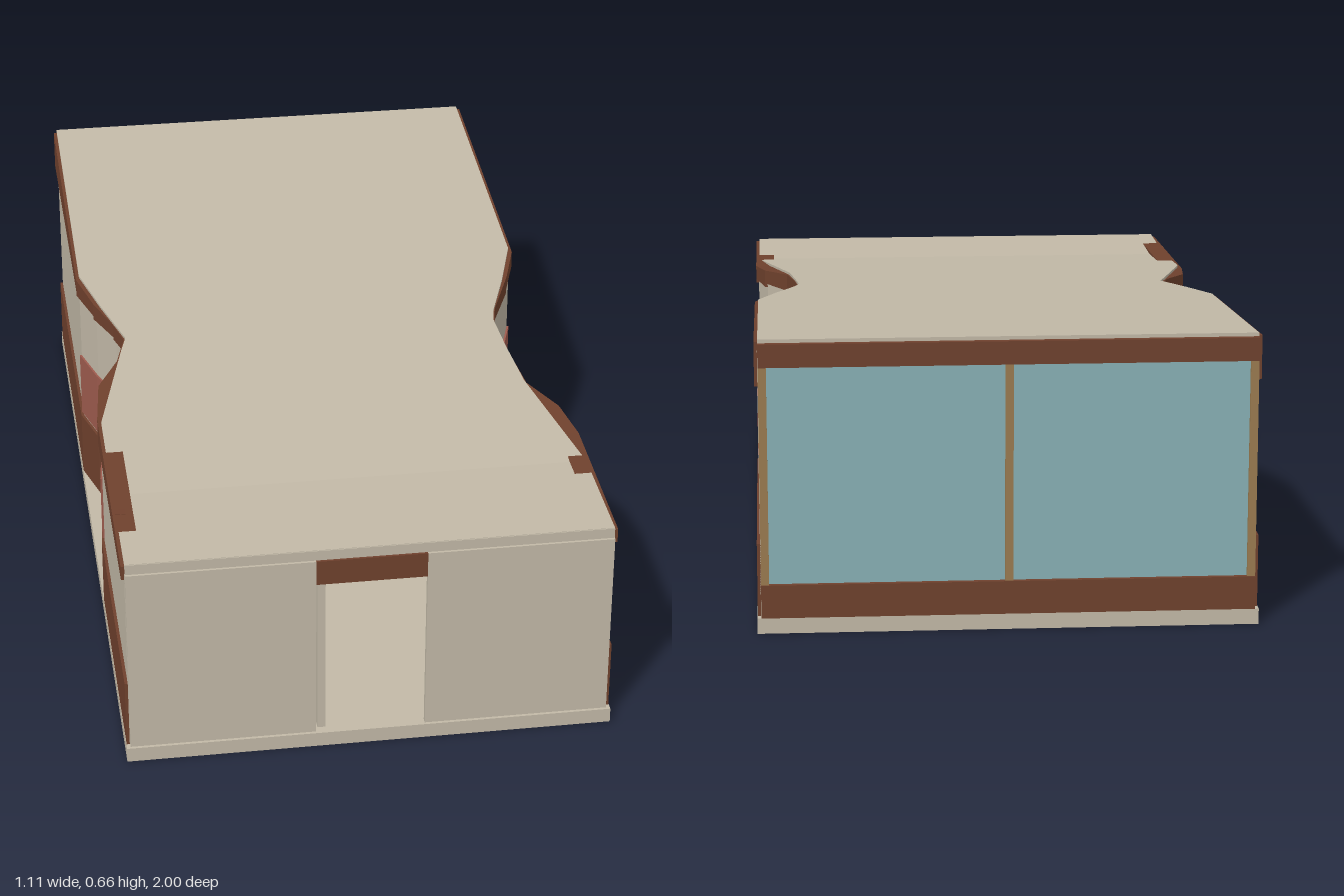
import * as THREE from 'three';

const mat = (name, color) => Object.assign(new THREE.MeshStandardMaterial({ color }), { name });

// Solid lofted through rows of four corners, faceted, always wound outward
function loft(rows) {
  const tris = [];
  const quad = (a, b, c, d) => tris.push([a, b, c], [a, c, d]);
  for (let i = 0; i < rows.length - 1; i++) {
    for (let j = 0; j < 4; j++) {
      const k = (j + 1) % 4;
      quad(rows[i][j], rows[i][k], rows[i + 1][k], rows[i + 1][j]);
    }
  }
  const first = rows[0], last = rows[rows.length - 1];
  quad(first[3], first[2], first[1], first[0]);
  quad(last[0], last[1], last[2], last[3]);
  const v = (p) => new THREE.Vector3(...p);
  const volume = tris.reduce((s, [a, b, c]) => s + v(a).dot(v(b).cross(v(c))), 0);
  const pos = tris.flatMap((t) => (volume < 0 ? [t[0], t[2], t[1]] : t)).flat();
  const g = new THREE.BufferGeometry();
  g.setAttribute('position', new THREE.Float32BufferAttribute(pos, 3));
  g.computeVertexNormals();
  return g;
}

// Outlines as [z, x], front to back
const wallRight = [[0.982, 0.548], [0.57, 0.548], [0.455, 0.525], [0.35, 0.468], [0.2, 0.45],
  [0.08, 0.442], [0.02, 0.455], [-0.12, 0.512], [-0.235, 0.548], [-0.98, 0.548]];
const wallLeft = [[0.982, -0.548], [0.38, -0.548], [0.24, -0.533], [0.14, -0.48], [0.05, -0.455],
  [-0.02, -0.475], [-0.12, -0.515], [-0.235, -0.548], [-0.98, -0.548]];
const roofRight = [[0.985, 0.547], [0.69, 0.547], [0.35, 0.47], [0.2, 0.455], [0.08, 0.447],
  [0.03, 0.457], [-0.1, 0.503], [-0.245, 0.547], [-0.985, 0.547]];
const roofLeft = [[0.985, -0.547], [0.4, -0.547], [0.1, -0.472], [0.05, -0.458],
  [-0.1, -0.506], [-0.245, -0.547], [-0.985, -0.547]];

const roofY = (z) => 0.515 + Math.max(0, 0.69 - z) * 0.0866;

function xAt(path, z) {
  for (let i = 0; i < path.length - 1; i++) {
    const [z0, x0] = path[i], [z1, x1] = path[i + 1];
    if (z <= z0 && z >= z1) return x0 + ((x1 - x0) * (z0 - z)) / (z0 - z1);
  }
  return path[path.length - 1][1];
}

// Upright strip following a wall outline between two z values
function strip(path, zFront, zBack, inset, outset, bottom, top) {
  const mids = path.map((p) => p[0]).filter((z) => z < zFront - 1e-4 && z > zBack + 1e-4);
  const side = Math.sign(path[0][1]);
  return loft([zFront, ...mids, zBack].map((z) => {
    const x = xAt(path, z), a = x - side * inset, b = x + side * outset, t = top(z);
    return [[a, bottom, z], [b, bottom, z], [b, t, z], [a, t, z]];
  }));
}

export function createModel() {
  const model = new THREE.Group();
  model.name = 'pavilion';
  const stone = mat('stone', 0xc2b9a7);
  const brown = mat('brownCladding', 0x6f412d);
  const red = mat('redPanel', 0x9e5b4e);
  const glass = mat('glass', 0x88b0b5);
  const tan = mat('tanFrame', 0x9a7b50);

  const add = (name, geometry, material) => {
    const mesh = new THREE.Mesh(geometry, material);
    mesh.name = name;
    model.add(mesh);
    return mesh;
  };
  // Box given by its min and max on each axis
  const box = (name, material, x0, x1, y0, y1, z0, z1) => {
    add(name, new THREE.BoxGeometry(x1 - x0, y1 - y0, z1 - z0), material)
      .position.set((x0 + x1) / 2, (y0 + y1) / 2, (z0 + z1) / 2);
  };

  box('floorSlab', stone, -0.556, 0.556, 0, 0.035, -1, 1);

  // Roof: flat at the front, then rising to the back, waisted on both sides
  const zs = [...new Set([...roofRight, ...roofLeft].map((p) => p[0]))].sort((a, b) => b - a);
  add('roof', loft(zs.map((z) => {
    const l = xAt(roofLeft, z), r = xAt(roofRight, z), y = roofY(z);
    return [[l, y - 0.012, z], [r, y - 0.012, z], [r, y, z], [l, y, z]];
  })), stone);

  // Side walls with base band, red panel and stepped top band
  for (const [side, path, redFront] of [['left', wallRight, 0.35], ['right', wallLeft, 0.38]]) {
    add(side + 'Wall', strip(path, 0.982, -0.98, 0.015, 0, 0.035, (z) => roofY(z) - 0.025), stone);
    add(side + 'BaseBand', strip(path, 0.982, -0.98, 0.005, 0.007, 0.035, () => 0.2), brown);
    add(side + 'RedPanel', strip(path, redFront, -0.235, 0.002, 0.005, 0.21, () => 0.375), red);
    for (let i = 0; i < path.length - 1; i++) {
      const z0 = path[i][0], z1 = path[i + 1][0];
      add(side + 'TopBand', strip(path, z0, z1, 0.04, 0.007, roofY(z0) - 0.04,
        (z) => roofY(z) - 0.006), brown);
    }
  }
  box('eaveBlock', brown, -0.555, -0.525, 0.495, 0.519, 0.6, 0.78);

  // Front wall with doorway, lintel and door standing open
  for (const s of [-1, 1]) {
    box('frontWall', stone, Math.min(s * 0.125, s * 0.547), Math.max(s * 0.125, s * 0.547),
      0.035, 0.49, 0.98, 0.993);
  }
  box('frontLintel', brown, -0.125, 0.125, 0.43, 0.49, 0.98, 0.993);
  box('frontFascia', stone, -0.547, 0.547, 0.49, 0.514, 0.975, 0.987);
  box('openDoor', stone, -0.12, -0.102, 0.037, 0.43, 0.75, 0.98);

  // Glazed back wall
  box('backBaseBand', brown, -0.547, 0.547, 0.035, 0.11, -1, -0.975);
  box('backFascia', brown, -0.547, 0.547, 0.6, 0.652, -1, -0.975);
  box('backGlass', glass, -0.54, 0.54, 0.11, 0.6, -0.988, -0.982);
  for (const x of [-0.538, 0, 0.538]) {
    box('backFramePost', tan, x - 0.009, x + 0.009, 0.11, 0.6, -0.996, -0.976);
  }
  return model;
}
